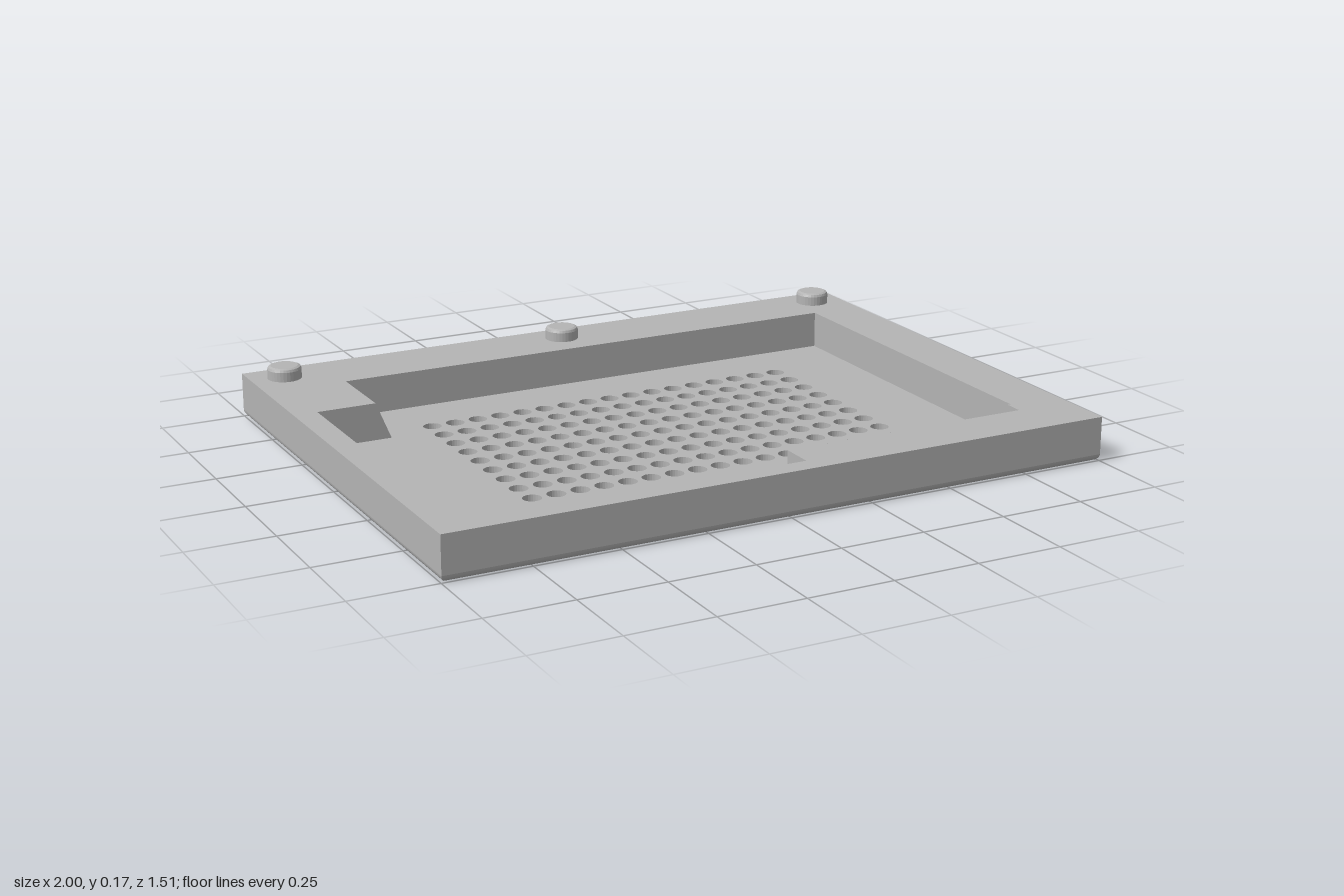
import * as THREE from 'three';

const W = 1, D = 0.753;          // half width and half depth
const FLOOR = 0.02, TOP = 0.13;  // floor thickness and rim height
const PEG_Z = -0.66;

const grey = new THREE.MeshStandardMaterial({ color: 0xb4b4b4 });
grey.name = 'grey';

function add(group, name, geometry) {
  const mesh = new THREE.Mesh(geometry, grey);
  mesh.name = name;
  group.add(mesh);
  return mesh;
}

const points = (list) => list.map(([x, z]) => new THREE.Vector2(x, z));

const rectangle = (x0, z0, x1, z1) => points([[x0, z0], [x1, z0], [x1, z1], [x0, z1]]);

const circle = (x, z, r) => new THREE.Path().absarc(x, z, r, 0, Math.PI * 2, true);

// Extrudes an outline drawn in x and z between two heights
function slab(shape, bottom, top, curveSegments = 12) {
  const geometry = new THREE.ExtrudeGeometry(shape, { depth: top - bottom, bevelEnabled: false, curveSegments });
  geometry.rotateX(Math.PI / 2);
  geometry.translate(0, top, 0);
  return geometry;
}

// Quarter-round edge around the underside, one smooth strip per side
function roundedSkirt(r, steps = 6) {
  const corners = [[-1, 1], [1, 1], [1, -1], [-1, -1]];
  const position = [], index = [];
  for (let side = 0; side < 4; side++) {
    const base = position.length / 3;
    for (let i = 0; i <= steps; i++) {
      const a = (i / steps) * Math.PI / 2;
      const inset = r * (1 - Math.cos(a)), y = r * (1 - Math.sin(a));
      for (const [sx, sz] of [corners[side], corners[(side + 1) % 4]]) {
        position.push(sx * (W - inset), y, sz * (D - inset));
      }
      if (i < steps) {
        const k = base + i * 2;
        index.push(k + 2, k + 3, k + 1, k + 2, k + 1, k);
      }
    }
  }
  const geometry = new THREE.BufferGeometry();
  geometry.setAttribute('position', new THREE.Float32BufferAttribute(position, 3));
  geometry.setIndex(index);
  geometry.computeVertexNormals();
  return geometry;
}

export function createModel() {
  const model = new THREE.Group();
  model.name = 'ventedCover';

  // Floor with the vent grid, cable opening and two blind sockets
  const floor = new THREE.Shape(rectangle(-W + FLOOR, -D + FLOOR, W - FLOOR, D - FLOOR));
  for (let col = 0; col < 17; col++) {
    for (let row = 0; row < 9; row++) {
      floor.holes.push(circle(-0.566 + col * 0.0718, -0.346 + row * 0.0862, 0.027));
    }
  }
  floor.holes.push(new THREE.Path(rectangle(-0.08, 0.595, 0.075, 0.693)));
  for (const x of [-0.9, 0.9]) floor.holes.push(circle(x, PEG_Z, 0.046));
  add(model, 'ventedFloor', slab(floor, 0, FLOOR));
  add(model, 'roundedBottomEdge', roundedSkirt(FLOOR));

  // Thick rim around the stepped pocket
  const rim = new THREE.Shape(rectangle(-W, -D, W, D));
  rim.holes.push(new THREE.Path(points([
    [-0.755, -0.54], [0.84, -0.54], [0.84, 0.54], [0.83, 0.54], [0.83, 0.595],
    [0.075, 0.595], [0.075, 0.693], [-0.93, 0.693], [-0.93, -0.303], [-0.755, -0.303],
  ])));
  for (const x of [-0.9, 0.9]) rim.holes.push(circle(x, PEG_Z, 0.046));
  add(model, 'rim', slab(rim, FLOOR, TOP, 16));

  // Sloped faces inside the pocket: triangular prisms from floor to rim top
  const wedge = (run, length) => new THREE.ExtrudeGeometry(
    new THREE.Shape(points([[0, FLOOR], [run, FLOOR], [0, TOP]])),
    { depth: length, bevelEnabled: false });
  add(model, 'cornerRamp', wedge(0.045, 0.237)).position.set(-0.755, 0, -0.54);
  const frontRamp = add(model, 'frontRamp', wedge(0.055, 0.52));
  frontRamp.rotation.y = Math.PI / 2;
  frontRamp.position.set(0.31, 0, 0.595);

  // Locating pegs; their lower ends close the sockets
  const pegProfile = points([
    [0, 0.075], [0.05, 0.075], [0.05, 0.158], [0.05, 0.158], [0.047, 0.165], [0.04, 0.168], [0.04, 0.168], [0, 0.168],
  ].filter((p, i, all) => i === 0 || p.join() !== all[i - 1].join()));
  const pegGeometry = new THREE.LatheGeometry(pegProfile, 32).toNonIndexed();
  pegGeometry.computeVertexNormals();
  for (const x of [-0.9, 0, 0.9]) add(model, 'peg', pegGeometry).position.set(x, 0, PEG_Z);

  return model;
}
